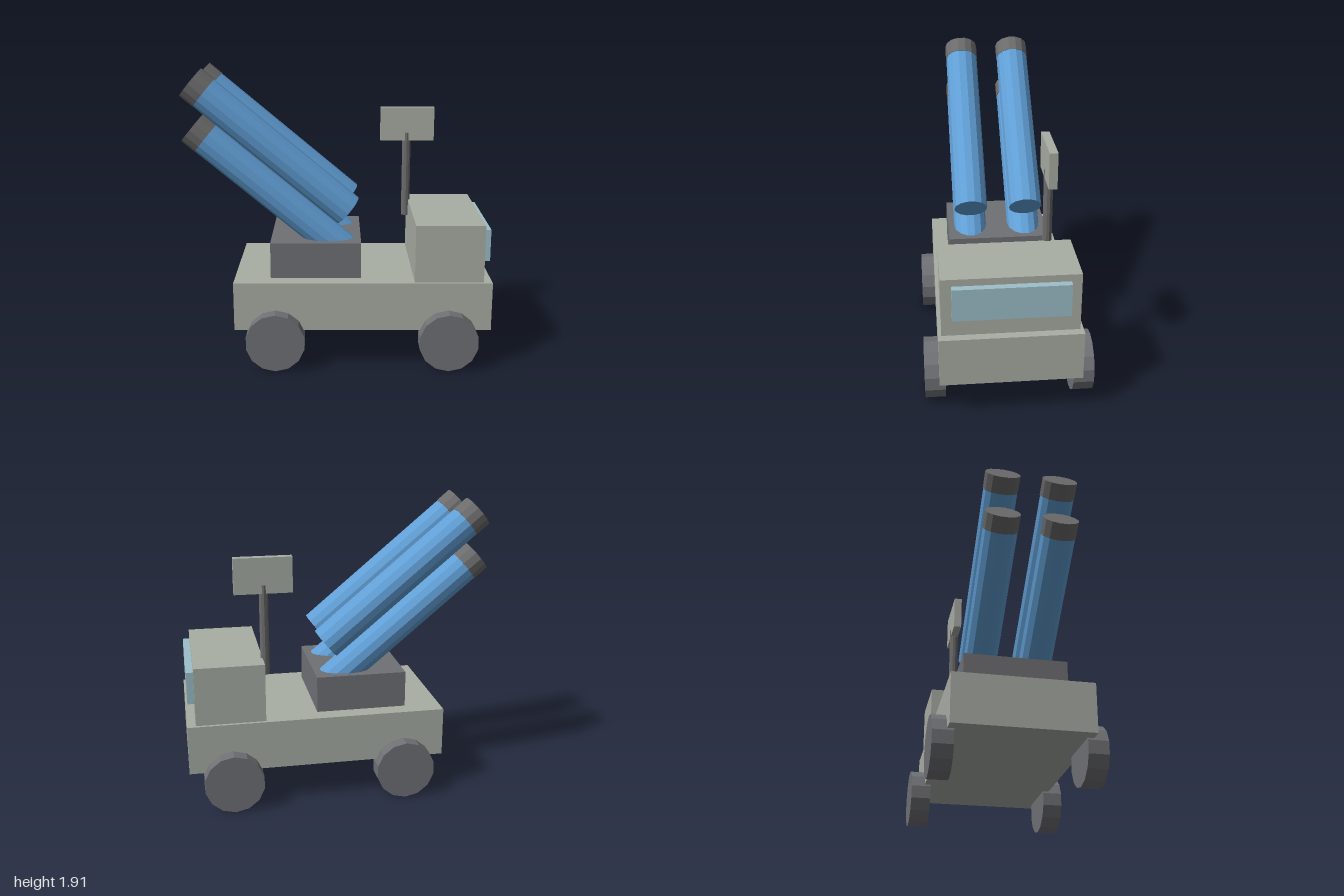
import * as THREE from 'three';

const material = (name, color) => {
  const m = new THREE.MeshStandardMaterial({ color, flatShading: true });
  m.name = name;
  return m;
};

export function createModel() {
  const model = new THREE.Group();
  model.name = 'launcherTruck';
  const hull = material('hullGrey', 0xa9aea5);
  const dark = material('darkGrey', 0x707175);
  const capGrey = material('capGrey', 0x6c6c6c);
  const blue = material('tubeBlue', 0x619fd6);
  const glass = material('windowGlass', 0x9dbfca);

  const add = (name, geometry, mat, x, y, z, parent = model) => {
    const mesh = new THREE.Mesh(geometry, mat);
    mesh.name = name;
    mesh.position.set(x, y, z);
    parent.add(mesh);
    return mesh;
  };
  // box given by its extents
  const box = (name, mat, x0, x1, y0, y1, z0, z1) =>
    add(name, new THREE.BoxGeometry(x1 - x0, y1 - y0, z1 - z0), mat,
      (x0 + x1) / 2, (y0 + y1) / 2, (z0 + z1) / 2);

  // truck body
  box('chassis', hull, -0.67, 1, 0.25, 0.57, -0.44, 0.44);
  box('cab', hull, 0.5, 0.945, 0.57, 0.95, -0.42, 0.42);
  box('windshield', glass, 0.94, 0.99, 0.695, 0.905, -0.355, 0.355);
  box('launcherBase', dark, -0.435, 0.155, 0.57, 0.808, -0.333, 0.333);

  // wheels
  const wheel = new THREE.CylinderGeometry(0.193, 0.193, 0.13, 14).rotateX(Math.PI / 2);
  for (const x of [-0.4, 0.72])
    for (const side of [1, -1]) add('wheel', wheel, dark, x, 0.193, side * 0.465);

  // radar mast and panel
  add('radarMast', new THREE.CylinderGeometry(0.03, 0.03, 0.59, 10), capGrey, 0.483, 1.135, -0.272);
  box('radarPanel', hull, 0.3, 0.67, 1.375, 1.605, -0.298, -0.246);

  // four launch tubes tilted back, each with a muzzle cap
  const tubeLength = 1.2, capLength = 0.107;
  const tube = new THREE.CylinderGeometry(0.11, 0.11, tubeLength, 14);
  const cap = new THREE.CylinderGeometry(0.113, 0.113, capLength, 14);
  for (const y of [0.99, 0.70])
    for (const z of [0.183, -0.183]) {
      const launcher = new THREE.Group();
      launcher.name = 'launchTube';
      launcher.position.set(0.07, y, z);
      launcher.rotation.z = THREE.MathUtils.degToRad(50);
      add('tube', tube, blue, 0, tubeLength / 2, 0, launcher);
      add('muzzleCap', cap, capGrey, 0, tubeLength + capLength / 2, 0, launcher);
      model.add(launcher);
    }
  return model;
}
